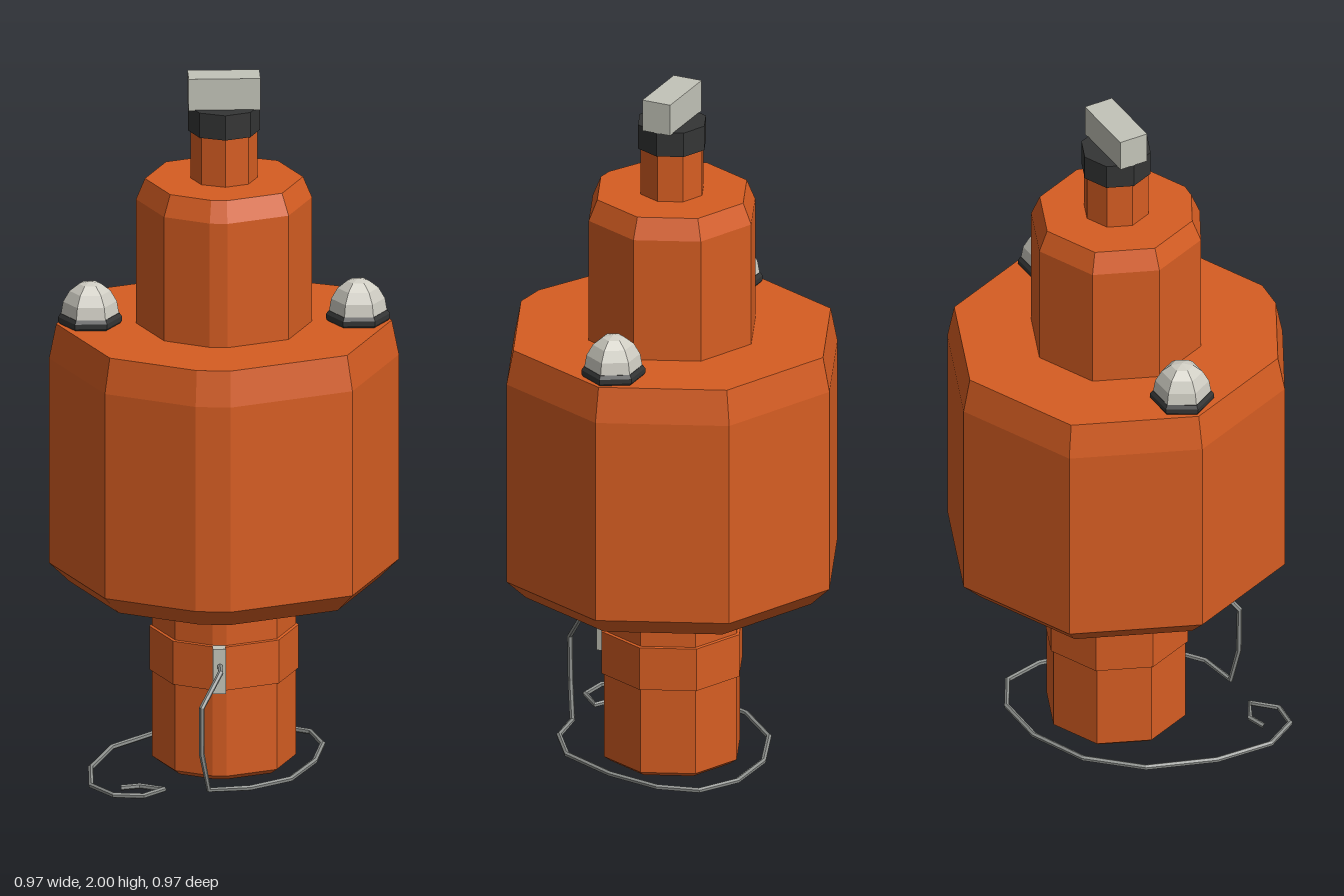
import * as THREE from 'three';

const mat = (name, color) => {
  const m = new THREE.MeshStandardMaterial({ color });
  m.name = name;
  return m;
};

// Faceted copy: every face gets its own normal
function faceted(geometry) {
  const g = geometry.index ? geometry.toNonIndexed() : geometry;
  g.computeVertexNormals();
  return g;
}

// Turned shape from [radius, height] pairs
function turned(profile, sides, start = 0) {
  const points = profile.map(([r, y]) => new THREE.Vector2(r, y));
  return new THREE.LatheGeometry(points, sides, start);
}

// Octagon with one extra corner beside the front one
function hullShape(profile) {
  const g = turned(profile, 9);
  const degrees = [0, 45, 90, 135, 180, 225, 270, 315, 348.5, 360];
  const p = g.attributes.position;
  for (let i = 0; i < p.count; i++) {
    const [r, y] = profile[i % profile.length];
    const a = THREE.MathUtils.degToRad(degrees[Math.floor(i / profile.length)]);
    p.setXYZ(i, r * Math.sin(a), y, r * Math.cos(a));
  }
  return g;
}

export function createModel() {
  const group = new THREE.Group();
  group.name = 'buoy';
  const orange = mat('orange paint', 0xd65d22);
  const pale = mat('pale grey', 0xc3c4b9);
  const glass = mat('lamp glass', 0xcfcdc3);
  const black = mat('black rubber', 0x343535);
  const steel = mat('steel', 0x8d908d);

  const add = (name, geometry, material, x = 0, y = 0, z = 0) => {
    const mesh = new THREE.Mesh(faceted(geometry), material);
    mesh.name = name;
    mesh.position.set(x, y, z);
    group.add(mesh);
    return mesh;
  };

  // Stem with its raised band
  add('stem', hullShape([
    [0, 0], [0.18, 0.005], [0.2, 0.02], [0.2, 0.27], [0.208, 0.272],
    [0.208, 0.398], [0.2, 0.4], [0.2, 0.47], [0.245, 0.515],
  ]), orange);

  // Float body and the tower on it
  add('floatBody', hullShape([
    [0, 0.51], [0.245, 0.512], [0.43, 0.53], [0.487, 0.585],
    [0.487, 1.18], [0.467, 1.28], [0, 1.28],
  ]), orange);
  add('tower', hullShape([[0.245, 1.28], [0.245, 1.64], [0.22, 1.7], [0, 1.7]]), orange);

  // Neck, collar and top block
  add('neck', turned([[0.093, 1.7], [0.093, 1.84]], 8), orange);
  add('collar', turned([[0, 1.838], [0.1, 1.838], [0.1, 1.91], [0, 1.91]], 8), black);
  add('topBlock', new THREE.BoxGeometry(0.2, 0.092, 0.086), pale, 0, 1.954, 0);

  // Domed lamps on both sides
  for (const side of [1, -1]) {
    const label = side > 0 ? 'left' : 'right';
    add(label + 'LampBase', turned(
      [[0.084, 1.28], [0.089, 1.287], [0.089, 1.3], [0.082, 1.31], [0, 1.31]], 6, Math.PI / 2,
    ), black, side * 0.373);
    const dome = [];
    for (let i = 0; i <= 4; i++) {
      const a = (i / 4) * Math.PI / 2;
      dome.push([0.081 * Math.cos(a), 1.308 + 0.095 * Math.sin(a)]);
    }
    add(label + 'LampDome', turned(dome, 6, Math.PI / 2), glass, side * 0.373);
  }

  // Mooring plate on the band
  add('mooringPlate', new THREE.BoxGeometry(0.036, 0.13, 0.036), pale, -0.022, 0.335, 0.217);

  // Cable dropping from the plate, then coiling round the foot
  const drop = [
    [-0.02, 0.35, 0.23], [-0.02, 0.35, 0.292], [-0.075, 0.265, 0.352],
    [-0.075, 0.13, 0.35], [-0.055, 0.022, 0.335],
  ];
  const coil = [
    [0.06, 0.32], [0.175, 0.24], [0.25, 0.07], [0.278, -0.09], [0.25, -0.205],
    [0.14, -0.27], [-0.02, -0.273], [-0.185, -0.21], [-0.31, -0.08], [-0.375, 0.11],
    [-0.38, 0.28], [-0.32, 0.375], [-0.24, 0.385], [-0.18, 0.325], [-0.245, 0.29], [-0.3, 0.305],
  ].map(([x, z]) => [x, 0.022, z]);
  const path = new THREE.CurvePath();
  const pts = [...drop, ...coil].map((p) => new THREE.Vector3(...p));
  // Straight links between the bends
  path.getPoint = (t) => {
    const s = t * (pts.length - 1);
    const i = Math.min(Math.floor(s), pts.length - 2);
    return pts[i].clone().lerp(pts[i + 1], s - i);
  };
  path.getPointAt = path.getPoint;
  path.getTangentAt = (t) => {
    const d = 0.002;
    return path.getPoint(Math.min(1, t + d)).sub(path.getPoint(Math.max(0, t - d))).normalize();
  };
  add('mooringCable', new THREE.TubeGeometry(path, pts.length - 1, 0.008, 6, false), steel);

  return group;
}
